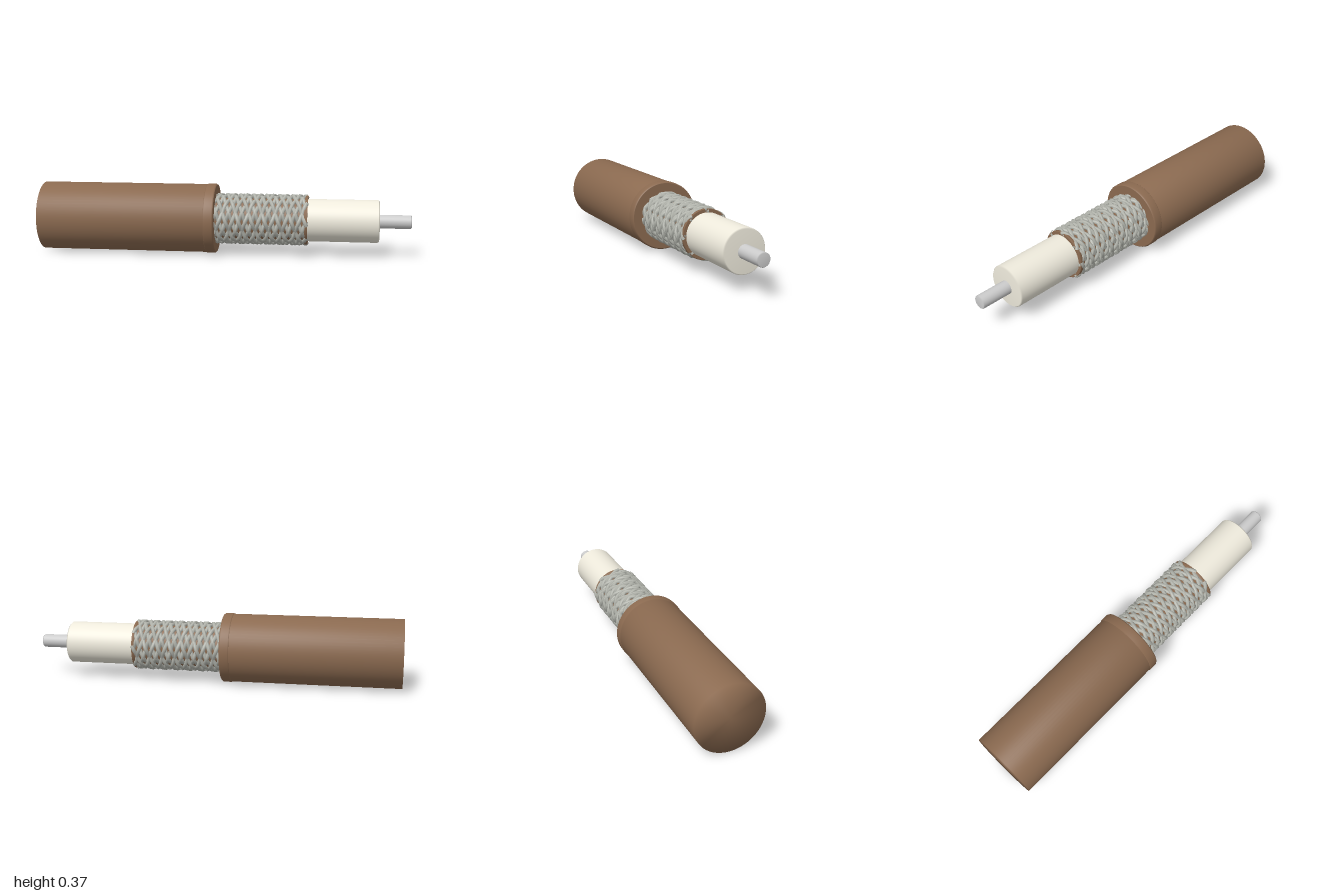
import * as THREE from 'three';

const BROWN = 0x8b6a50, IVORY = 0xeeeadc, STEEL = 0xb4b6ae, SILVER = 0xc8c8c4;

// Solid of revolution about the x axis; profile is [x, radius] from rear to tip.
function turned(name, color, profile, segments = 64) {
  const pts = profile.map(([x, r]) => new THREE.Vector2(r, x));
  const geo = new THREE.LatheGeometry(pts, segments).rotateZ(-Math.PI / 2);
  const mesh = new THREE.Mesh(geo, new THREE.MeshStandardMaterial({ color }));
  mesh.name = name;
  return mesh;
}

// One braid wire: a helix that rises and dips to pass over and under the others.
class BraidCurve extends THREE.Curve {
  constructor(start, hand, count, x0, x1, lead) {
    super();
    Object.assign(this, { start, hand, count, x0, x1, lead });
  }
  getPoint(t, target = new THREE.Vector3()) {
    const x = this.x0 + (this.x1 - this.x0) * t;
    const turn = ((x - this.x0) / this.lead) * Math.PI * 2;
    const a = this.start + this.hand * turn;
    const r = 0.123 + 0.005 * this.hand * Math.cos(this.count * turn + (this.start * this.count) / 2);
    return target.set(x, r * Math.cos(a), r * Math.sin(a));
  }
}

function createBraid() {
  const braid = new THREE.Group();
  braid.name = 'braidedShield';
  const material = new THREE.MeshStandardMaterial({ color: STEEL });
  const count = 8;
  for (const hand of [1, -1]) {
    for (let i = 0; i < count; i++) {
      const curve = new BraidCurve((i / count) * Math.PI * 2, hand, count, -0.045, 0.45, 0.28);
      const wire = new THREE.Mesh(new THREE.TubeGeometry(curve, 170, 0.011, 6), material);
      wire.name = 'braidWire';
      braid.add(wire);
    }
  }
  return braid;
}

export function createModel() {
  const model = new THREE.Group();
  model.name = 'cable';

  // Outer jacket and the collar at its cut end
  model.add(turned('jacket', BROWN, [[-0.99, 0], [-0.99, 0.184], [-0.06, 0.184], [-0.06, 0]]));
  model.add(turned('collar', BROWN, [
    [-0.09, 0.17], [-0.09, 0.182], [-0.083, 0.187], [-0.042, 0.187],
    [-0.035, 0.182], [-0.035, 0.18], [-0.035, 0],
  ]));

  // Sleeve under the braid, with a lip closing the braid's end
  model.add(turned('innerSleeve', BROWN, [
    [-0.05, 0.121], [0.435, 0.121], [0.44, 0.131], [0.455, 0.131], [0.455, 0.128], [0.455, 0],
  ]));
  model.add(createBraid());

  // Insulator and centre conductor
  model.add(turned('insulator', IVORY, [[0.44, 0.113], [0.823, 0.113], [0.83, 0.107], [0.83, 0]]));
  model.add(turned('centreConductor', SILVER, [[0.8, 0.036], [0.993, 0.036], [0.998, 0.032], [0.998, 0]], 32));

  // The cable lies slightly turned about the vertical
  model.rotation.y = -0.0437;
  model.position.set(0, 0.187, 0.018);
  const root = new THREE.Group();
  root.add(model);
  return root;
}
